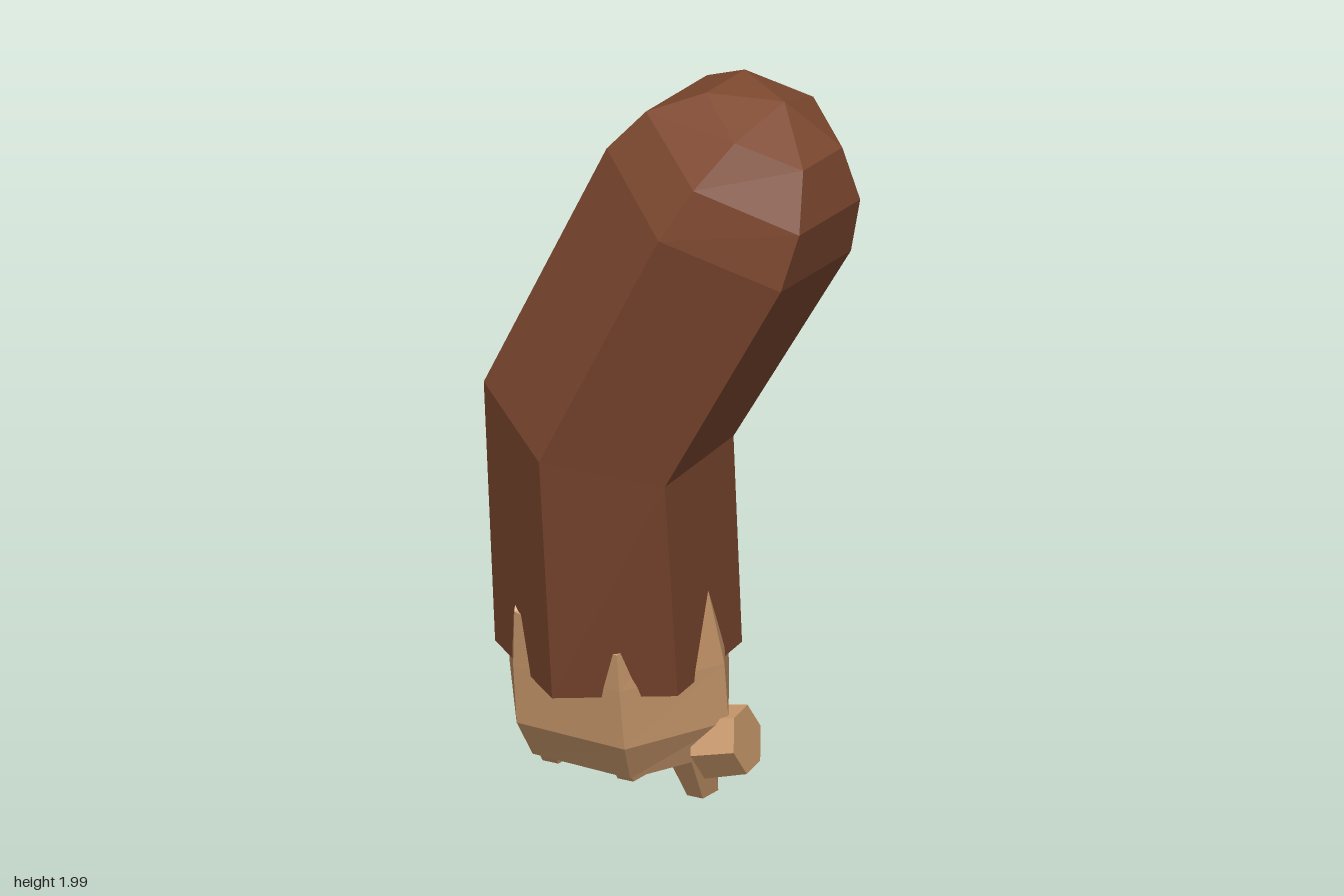
import * as THREE from 'three';

const V = (x, y, z) => new THREE.Vector3(x, y, z);

// Skin between rings of points (bottom to top), closed by a fan to a point at each end
function loft(rings, bottom, top) {
  const pos = [];
  const tri = (...p) => p.forEach(([x, y, z]) => pos.push(x, y, z));
  const n = rings[0].length;
  const last = rings.length - 1;
  for (let i = 0; i < n; i++) {
    const j = (i + 1) % n;
    for (let r = 0; r < last; r++) {
      const lo = rings[r], hi = rings[r + 1];
      tri(lo[i], lo[j], hi[j]);
      tri(lo[i], hi[j], hi[i]);
    }
    tri(bottom, rings[0][j], rings[0][i]);
    tri(rings[last][i], rings[last][j], top);
  }
  const geo = new THREE.BufferGeometry();
  geo.setAttribute('position', new THREE.Float32BufferAttribute(pos, 3));
  geo.computeVertexNormals();
  return geo;
}

// Tapered six-sided stub from one point to another
function stub(from, to, rFrom, rTo, twist) {
  const dir = to.clone().sub(from);
  const geo = new THREE.CylinderGeometry(rTo, rFrom, dir.length(), 6);
  geo.rotateY(twist);
  geo.applyQuaternion(new THREE.Quaternion().setFromUnitVectors(V(0, 1, 0), dir.normalize()));
  const mid = from.clone().add(to).multiplyScalar(0.5);
  return geo.translate(mid.x, mid.y, mid.z);
}

export function createModel() {
  const group = new THREE.Group();
  const sleeveBrown = new THREE.MeshStandardMaterial({ color: 0x7f4930, flatShading: true });
  sleeveBrown.name = 'sleeve brown';
  const skinTan = new THREE.MeshStandardMaterial({ color: 0xc6966a, flatShading: true });
  skinTan.name = 'skin tan';

  const add = (name, geo, mat) => {
    const mesh = new THREE.Mesh(geo, mat);
    mesh.name = name;
    group.add(mesh);
  };

  // Sleeve: cuff, elbow, shoulder and rounded end
  const cuff = [
    [-0.44, 0.43, -0.25], [-0.457, 0.39, 0.045], [-0.2, 0.34, 0.2],
    [0.07, 0.35, 0.05], [0.08, 0.4, -0.24], [-0.175, 0.465, -0.39],
  ];
  const elbow = [
    [-0.38, 1.17, -0.105], [-0.39, 1.14, 0.21], [-0.135, 1.03, 0.37],
    [0.13, 0.965, 0.21], [0.14, 1.0, -0.1], [-0.115, 1.1, -0.26],
  ];
  // Shoulder rings share one hexagon, tilted along the upper arm
  const tilted = (cx, cy, dx, dy, half, wide) => [
    [cx - dx, cy + dy, 0.055 - half], [cx - dx, cy + dy, 0.055 + half], [cx, cy, 0.055 + wide],
    [cx + dx, cy - dy, 0.055 + half], [cx + dx, cy - dy, 0.055 - half], [cx, cy, 0.055 - wide],
  ];
  const shoulder = [
    tilted(0.22, 1.69, 0.25, 0.14, 0.167, 0.335),
    tilted(0.29, 1.82, 0.22, 0.12, 0.145, 0.285),
    tilted(0.35, 1.925, 0.14, 0.075, 0.093, 0.187),
  ];
  add('sleeve', loft([cuff, elbow, ...shoulder], [-0.187, 0.396, -0.1], [0.38, 1.98, 0.055]), sleeveBrown);

  // Hand: palm turned half a side, so its corners pierce the sleeve as points
  const palmBase = [
    [-0.475, 0.165, -0.14], [-0.34, 0.12, 0.06], [-0.06, 0.11, 0.06],
    [0.085, 0.14, -0.13], [-0.06, 0.18, -0.34], [-0.34, 0.18, -0.34],
  ];
  const palmWide = [
    [-0.515, 0.27, -0.12], [-0.35, 0.22, 0.12], [-0.04, 0.21, 0.12],
    [0.12, 0.24, -0.11], [-0.03, 0.29, -0.36], [-0.355, 0.29, -0.36],
  ];
  const wristLow = [
    [-0.505, 0.42, -0.1], [-0.345, 0.38, 0.145], [-0.04, 0.37, 0.145],
    [0.12, 0.4, -0.09], [-0.03, 0.45, -0.34], [-0.345, 0.44, -0.34],
  ];
  const wristTop = [
    [-0.42, 0.75, -0.04], [-0.33, 0.53, 0.164], [-0.04, 0.47, 0.157],
    [0.098, 0.6, -0.05], [-0.035, 0.66, -0.27], [-0.285, 0.75, -0.262],
  ];
  add('hand', loft([palmBase, palmWide, wristLow, wristTop], [-0.2, 0.15, -0.14], [-0.16, 0.6, -0.05]), skinTan);

  // Three short fingers in a row
  [[-0.415, 0.02], [-0.2, 0.015], [0, 0.01]].forEach(([x, y], i) => {
    add('finger' + (i + 1), stub(V(x, 0.2, -0.11), V(x, y + 0.01, -0.185), 0.078, 0.045, Math.PI / 6), skinTan);
  });

  // Thumb on the side
  add('thumb', stub(V(0.04, 0.165, -0.13), V(0.152, 0.188, -0.145), 0.092, 0.086, 0.2), skinTan);

  // Stand on the ground
  const box = new THREE.Box3().setFromObject(group, true);
  group.children.forEach((m) => m.geometry.translate(0, -box.min.y, 0));
  return group;
}
